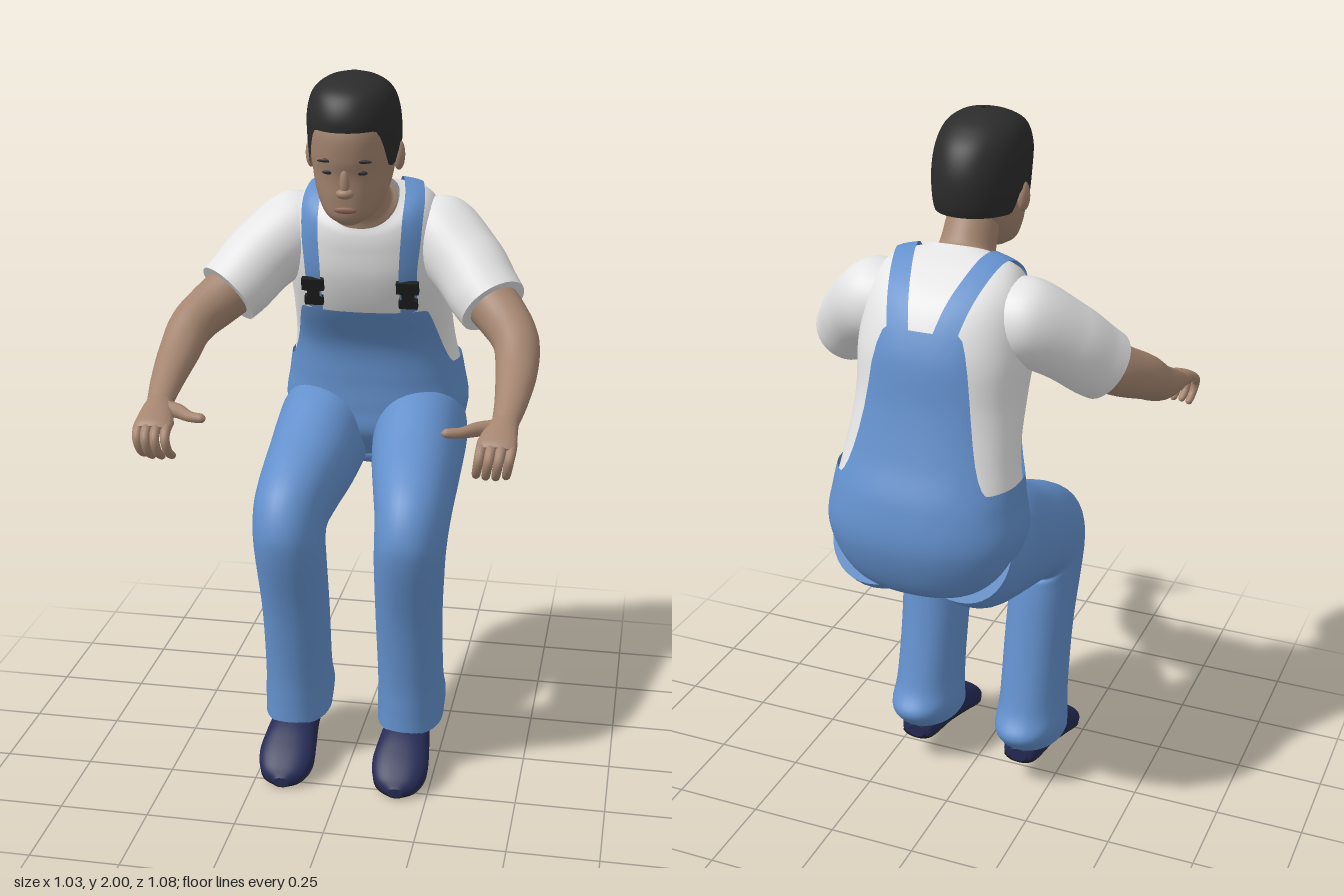
import * as THREE from 'three';

const V3 = (x, y, z) => new THREE.Vector3(x, y, z);
const material = (name, color, side = THREE.DoubleSide) => {
  const m = new THREE.MeshStandardMaterial({ color, side });
  m.name = name;
  return m;
};
const step = (a, b, x) => THREE.MathUtils.smoothstep(x, a, b);

// Smooth skin over cross-sections {c, U, V, lift}; v0/v1 trim it per angle
function loft(rings, o = {}) {
  const { n = 32, m = 40, v0 = () => 0, v1 = () => 1, a0 = 0, a1 = Math.PI * 2, grow = 0, e = 1, caps = false } = o;
  const curve = f => new THREE.CatmullRomCurve3(rings.map(f), false, 'catmullrom');
  const C = curve(r => r.c), U = curve(r => r.U), V = curve(r => r.V), L = curve(r => V3(r.lift || 0, 0, 0));
  const closed = a1 - a0 > 6.28, cols = closed ? n : n + 1;
  const pos = [], idx = [];
  const power = x => Math.sign(x) * Math.abs(x) ** e;
  for (let i = 0; i <= m; i++) for (let j = 0; j < cols; j++) {
    const a = a0 + (a1 - a0) * j / n;
    const v = THREE.MathUtils.lerp(v0(a), v1(a), i / m);
    const u = U.getPoint(v), w = V.getPoint(v);
    u.setLength(u.length() + grow);
    w.setLength(w.length() + grow);
    const p = C.getPoint(v).addScaledVector(u, power(Math.cos(a))).addScaledVector(w, power(Math.sin(a)));
    p.y += L.getPoint(v).x * Math.cos(a) ** 2;
    pos.push(p.x, p.y, p.z);
  }
  for (let i = 0; i < m; i++) for (let j = 0; j < n; j++) {
    const a = i * cols + j, b = i * cols + (j + 1) % cols;
    idx.push(a, b, a + cols, b, b + cols, a + cols);
  }
  if (caps) for (const row of [0, m]) {
    const base = pos.length / 3, mid = C.getPoint(row / m);
    for (let j = 0; j < cols; j++) pos.push(...pos.slice((row * cols + j) * 3, (row * cols + j) * 3 + 3));
    pos.push(mid.x, mid.y, mid.z);
    for (let j = 0; j < n; j++) {
      const a = base + j, b = base + (j + 1) % cols;
      idx.push(...(row ? [a, b, base + cols] : [b, a, base + cols]));
    }
  }
  return finish(pos, idx);
}

function finish(pos, idx) {
  const g = new THREE.BufferGeometry();
  g.setAttribute('position', new THREE.Float32BufferAttribute(pos, 3));
  g.setIndex(idx);
  g.computeVertexNormals();
  return g;
}

// Sections from profile points: [front y, front z, back y, back z, half width, centre x, lift]
const profile = (list, sign) => list.map(([yf, zf, yb, zb, w, x = 0, lift = 0]) => ({
  c: V3(x, (yf + yb) / 2, (zf + zb) / 2), U: V3(w, 0, 0),
  V: V3(0, sign * (yf - yb) / 2, sign * (zf - zb) / 2), lift,
}));

// Sections along a path: [x, y, z, radius, second radius]
const path = (list, ref = V3(0, 1, 0)) => list.map(([x, y, z, r, r2 = r], i) => {
  const a = list[Math.max(0, i - 1)], b = list[Math.min(list.length - 1, i + 1)];
  const t = V3(b[0] - a[0], b[1] - a[1], b[2] - a[2]).normalize();
  const u = ref.clone().cross(t).normalize();
  return { c: V3(x, y, z), U: u.clone().multiplyScalar(r), V: t.cross(u).multiplyScalar(r2) };
});

function mirrored(g) {
  const c = g.clone().scale(-1, 1, 1), ix = c.index.array;
  for (let i = 0; i < ix.length; i += 3) [ix[i], ix[i + 1]] = [ix[i + 1], ix[i]];
  c.computeVertexNormals();
  return c;
}

export function createModel() {
  const model = new THREE.Group();
  model.name = 'crouchingWorker';
  const skin = material('skin', 0xa48570), hair = material('hair', 0x2b2b2b), shirt = material('shirt', 0xe4e4e4);
  const denim = material('denim', 0x6390cc), navy = material('shoeNavy', 0x252b55), black = material('soleBlack', 0x1e1e1e);
  const lips = material('lips', 0x8c6455);
  const add = (name, geo, mat) => {
    const mesh = new THREE.Mesh(geo, mat);
    mesh.name = name;
    model.add(mesh);
    return mesh;
  };
  const pair = (name, geo, mat) => {
    add(name + 'Right', mirrored(geo), mat);
    return add(name + 'Left', geo, mat);
  };
  const ray = new THREE.Raycaster();
  const hit = (from, dir, meshes) => {
    ray.set(from, dir);
    return ray.intersectObjects(meshes)[0]?.point;
  };

  // Torso: shirt, with the overalls as a trimmed shell around it
  const torso = profile([
    [0.84, -0.24, 0.80, -0.40, 0.10], [0.92, -0.17, 0.84, -0.48, 0.22],
    [1.00, -0.165, 0.97, -0.53, 0.262], [1.09, -0.165, 1.09, -0.515, 0.25],
    [1.20, -0.15, 1.20, -0.47, 0.232], [1.32, -0.075, 1.33, -0.43, 0.225],
    [1.42, -0.035, 1.47, -0.40, 0.23], [1.50, -0.025, 1.58, -0.34, 0.215, 0, 0.03],
    [1.54, -0.025, 1.65, -0.25, 0.17, 0, 0.045], [1.565, -0.03, 1.69, -0.165, 0.10, 0, 0.015],
  ], -1);
  const body = add('shirtBody', loft(torso, { n: 64, m: 50, v0: () => 0.22, e: 0.85 }), shirt);
  const bibTop = a => {
    const c = Math.abs(Math.cos(a));
    return Math.sin(a) > 0 ? 0.72 - 0.34 * step(0.36, 0.8, c) : 0.555 - 0.175 * step(0.72, 0.95, c);
  };
  add('overallsBody', loft(torso, { n: 120, m: 50, v1: bibTop, grow: 0.008, e: 0.85 }), denim);
  add('seatBase', new THREE.SphereGeometry(0.09, 20, 14).scale(1.3, 0.5, 1).translate(0, 0.84, -0.32), denim);

  // Trouser legs, from hip over the bent knee to the hem
  pair('trouserLeg', loft(profile([
    [1.07, -0.34, 0.82, -0.46, 0.125, 0.13], [1.065, -0.20, 0.765, -0.38, 0.138, 0.14],
    [0.985, -0.03, 0.72, -0.20, 0.128, 0.152], [0.925, 0.10, 0.69, -0.07, 0.114, 0.165],
    [0.86, 0.19, 0.668, -0.015, 0.104, 0.173], [0.77, 0.24, 0.65, -0.02, 0.10, 0.173],
    [0.68, 0.242, 0.60, -0.03, 0.098, 0.17], [0.49, 0.195, 0.44, -0.06, 0.094, 0.165],
    [0.30, 0.165, 0.26, -0.105, 0.093, 0.166], [0.20, 0.16, 0.19, -0.145, 0.097, 0.167],
    [0.135, 0.16, 0.135, -0.105, 0.094, 0.167],
  ], 1), { n: 36, m: 70, caps: true, e: 0.92 }), denim);

  // Shoes, toes lower than heels, with dark soles
  const shoe = profile([
    [0.13, -0.098, 0.09, -0.098, 0.025, 0.165], [0.15, -0.075, 0.078, -0.075, 0.052, 0.165],
    [0.17, 0.05, 0.052, 0.05, 0.062, 0.165], [0.145, 0.15, 0.03, 0.15, 0.075, 0.165],
    [0.105, 0.22, 0.013, 0.22, 0.08, 0.165], [0.065, 0.27, 0.006, 0.27, 0.06, 0.165],
    [0.035, 0.295, 0.01, 0.295, 0.02, 0.165],
  ], 1);
  pair('shoe', loft(shoe, { caps: true, e: 0.85 }), navy);
  pair('sole', loft(shoe, { a0: 3.6, a1: 5.82, grow: 0.004, e: 0.85 }), black);

  // Sleeves and bare arms reaching forward
  const sleeve = pair('sleeve', loft(path([
    [0.11, 1.525, -0.21, 0.09], [0.20, 1.522, -0.19, 0.115], [0.29, 1.455, -0.12, 0.106],
    [0.345, 1.392, -0.062, 0.101], [0.372, 1.365, -0.035, 0.097],
  ]), { caps: true }), shirt);
  pair('arm', loft(path([
    [0.33, 1.40, -0.075, 0.075], [0.40, 1.345, -0.005, 0.07], [0.447, 1.30, 0.08, 0.062],
    [0.459, 1.25, 0.17, 0.056, 0.052], [0.459, 1.205, 0.29, 0.044, 0.039], [0.453, 1.172, 0.385, 0.034, 0.028],
  ]), { caps: true, n: 24 }), skin);

  // Hands: palm, four curled fingers and a thumb
  pair('palm', loft(path([
    [0.454, 1.175, 0.375, 0.033, 0.027], [0.447, 1.165, 0.42, 0.043, 0.026],
    [0.442, 1.148, 0.48, 0.05, 0.019], [0.442, 1.14, 0.50, 0.044, 0.012],
  ]), { caps: true, n: 20, m: 16 }), skin);
  [0.48, 0.455, 0.43, 0.405].forEach((x, i) => {
    const reach = [-0.012, 0, 0, -0.008][i];
    pair('finger' + (i + 1), loft(path([
      [x, 1.15, 0.46, 0.013], [x, 1.138, 0.505 + reach, 0.0135], [x - 0.003, 1.115, 0.523 + reach, 0.0125],
      [x - 0.008, 1.085, 0.515 + reach, 0.0115], [x - 0.012, 1.067, 0.492 + reach, 0.01], [x - 0.014, 1.063, 0.484 + reach, 0.002],
    ], V3(1, 0, 0)), { n: 12, m: 18 }), skin);
  });
  pair('thumb', loft(path([
    [0.435, 1.168, 0.40, 0.02], [0.39, 1.168, 0.425, 0.019], [0.35, 1.168, 0.462, 0.014],
    [0.315, 1.17, 0.477, 0.012], [0.303, 1.17, 0.48, 0.002],
  ]), { n: 12, m: 18 }), skin);

  // Neck and forward-tilted head
  add('neck', loft(profile([
    [1.553, -0.036, 1.682, -0.16, 0.097, 0, 0.015], [1.60, -0.022, 1.70, -0.14, 0.076], [1.68, 0.03, 1.76, -0.10, 0.07],
  ], -1), { n: 32, m: 14 }), skin);
  const head = add('head', loft(profile([
    [1.608, 0.128, 1.625, 0.05, 0.03], [1.63, 0.155, 1.66, -0.015, 0.07], [1.68, 0.165, 1.72, -0.075, 0.096],
    [1.74, 0.172, 1.78, -0.11, 0.108], [1.79, 0.186, 1.84, -0.12, 0.112], [1.86, 0.188, 1.91, -0.10, 0.11],
    [1.93, 0.15, 1.95, -0.05, 0.085], [1.97, 0.07, 1.975, 0.0, 0.04],
  ], -1), { caps: true, n: 40, e: 0.93 }), skin);

  // Short hair cap, hairline rising over the brow and the ears
  const hairline = a => {
    const s = Math.sin(a);
    return 0.43 - 0.26 * step(-0.8, -0.45, s) + 0.09 * step(-0.3, -0.1, s) - 0.15 * step(0.1, 0.4, s);
  };
  add('hairCap', loft(profile([
    [1.70, 0.17, 1.725, -0.12, 0.108], [1.76, 0.18, 1.77, -0.143, 0.118], [1.82, 0.19, 1.85, -0.146, 0.123],
    [1.89, 0.20, 1.92, -0.12, 0.12], [1.95, 0.17, 1.965, -0.07, 0.102],
    [1.987, 0.10, 1.99, -0.015, 0.06], [2.0, 0.035, 2.0, 0.025, 0.006],
  ], -1), { n: 72, m: 30, v0: hairline, e: 0.95 }), hair);

  // Ears and face details set on the head surface
  const ball = (x, y, z, sx, sy, sz) => new THREE.SphereGeometry(1, 16, 12).scale(sx, sy, sz).translate(x, y, z);
  const faceZ = (x, y) => hit(V3(x, y, 1), V3(0, 0, -1), [head])?.z ?? 0.16;
  pair('ear', ball(0.118, 1.78, 0.02, 0.016, 0.04, 0.024), skin);
  pair('eye', ball(0.043, 1.755, faceZ(0.043, 1.755), 0.017, 0.006, 0.004), hair);
  pair('eyebrow', ball(0.046, 1.786, faceZ(0.046, 1.786), 0.026, 0.005, 0.004), hair);
  add('noseBridge', ball(0, 1.73, faceZ(0, 1.73), 0.013, 0.04, 0.013), skin);
  add('noseTip', ball(0, 1.70, faceZ(0, 1.70) + 0.002, 0.024, 0.014, 0.018), skin);
  add('mouth', ball(0, 1.655, faceZ(0, 1.655), 0.03, 0.009, 0.006), lips);

  // Shoulder straps draped over the shirt from bib to back
  const onShirt = (p, lift) => {
    const core = V3(p.x, 1.42, -0.2), out = p.clone().sub(core).normalize();
    const h = hit(core.clone().add(out), out.clone().negate(), [body, sleeve]) ?? p;
    return h.clone().addScaledVector(out, lift);
  };
  const strapLine = new THREE.CatmullRomCurve3([
    V3(0.132, 1.30, -0.07), V3(0.134, 1.45, -0.02), V3(0.142, 1.58, -0.03), V3(0.142, 1.68, -0.1),
    V3(0.122, 1.69, -0.2), V3(0.092, 1.62, -0.31), V3(0.055, 1.48, -0.39),
  ]);
  const pos = [], idx = [], rows = 60, cols = 4;
  for (let i = 0; i <= rows; i++) for (let j = 0; j <= cols; j++) {
    const p = strapLine.getPoint(i / rows);
    p.x += (j / cols - 0.5) * (0.044 + 0.02 * i / rows);
    pos.push(...onShirt(p, 0.011).toArray());
    if (i < rows && j < cols) {
      const a = i * (cols + 1) + j, b = a + cols + 1;
      idx.push(a, a + 1, b, a + 1, b + 1, b);
    }
  }
  pair('strap', finish(pos, idx), denim);

  // Dark buckles joining straps and bib
  for (const [name, y, w, h] of [['buckleClip', 1.40, 0.062, 0.035], ['buckleStem', 1.37, 0.034, 0.07], ['buckleButton', 1.338, 0.052, 0.026]]) {
    const p = onShirt(V3(0.133, y, -0.04), 0.016);
    pair(name, new THREE.BoxGeometry(w, h, 0.018).rotateX(0.3).translate(p.x, p.y, p.z), black);
  }
  return model;
}
